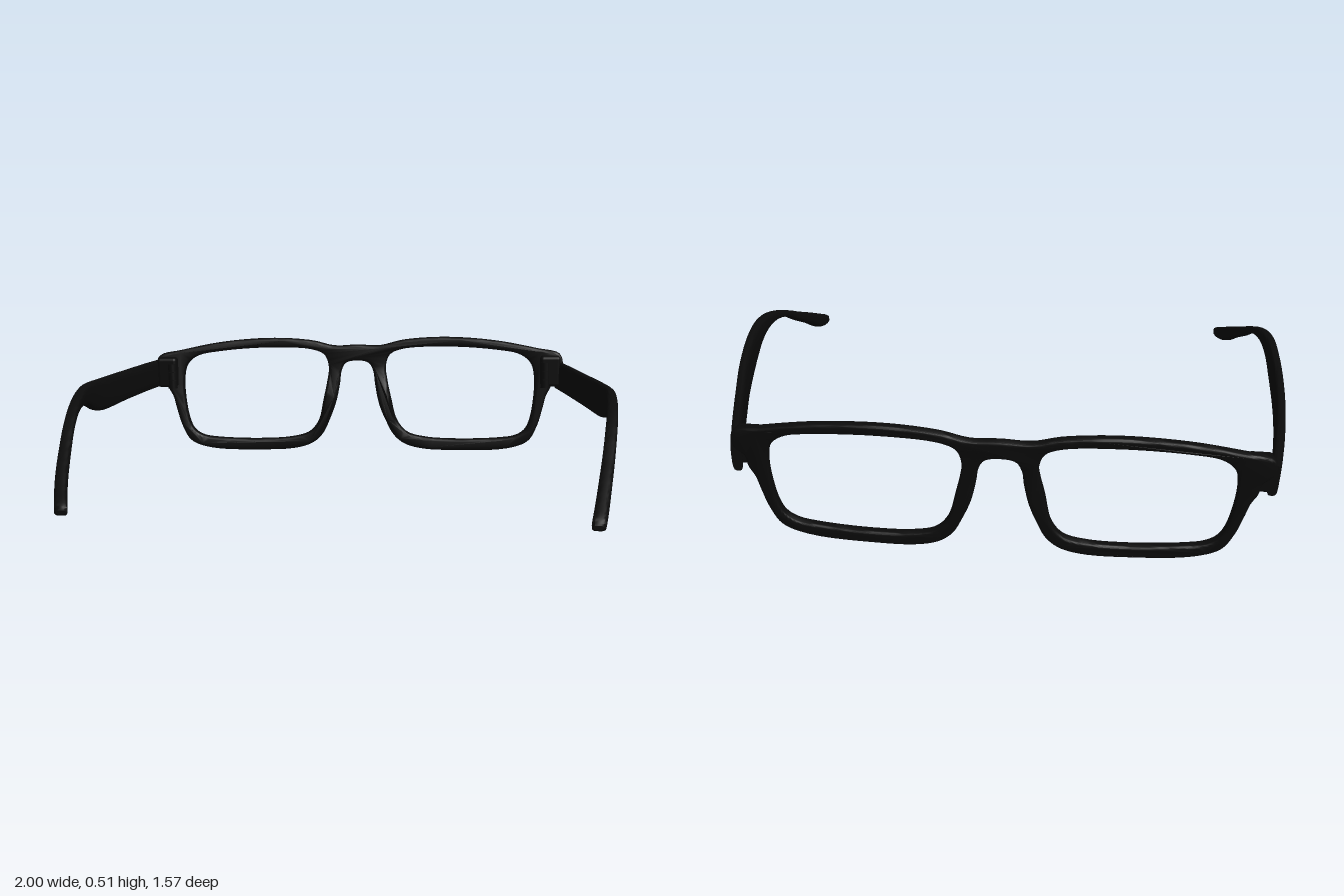
import * as THREE from 'three';
import { mergeVertices, toCreasedNormals } from 'three/addons/utils/BufferGeometryUtils.js';
import { RoundedBoxGeometry } from 'three/addons/geometries/RoundedBoxGeometry.js';

const material = new THREE.MeshStandardMaterial({ color: 0x0b0b0b });

function addMesh(parent, name, geometry) {
  const mesh = new THREE.Mesh(geometry, material);
  mesh.name = name;
  parent.add(mesh);
  return mesh;
}

// Smooth closed outline through a few points
function smoothLoop(points, divisions) {
  const curve = new THREE.CatmullRomCurve3(
    points.map(([x, y]) => new THREE.Vector3(x, y, 0)), true, 'centripetal');
  return curve.getPoints(divisions).slice(0, -1).map(p => new THREE.Vector2(p.x, p.y));
}

const mirror = points => points.map(([x, y]) => [-x, y]).reverse();

// Lean and wrap of the front
const frontZ = (x, y) => -0.722 - 0.09 * y + 0.05 * x * x;

// Half of the outer outline, from bridge top round to bridge underside
const OUTLINE = [
  [0, 0.468], [0.1, 0.465], [0.2, 0.488], [0.38, 0.5], [0.6, 0.485], [0.78, 0.452],
  [0.87, 0.432], [0.885, 0.4], [0.878, 0.36], [0.845, 0.335], [0.835, 0.29], [0.815, 0.25],
  [0.802, 0.2], [0.778, 0.12], [0.74, 0.055], [0.65, 0.021], [0.43, 0.01], [0.275, 0.017],
  [0.2, 0.04], [0.155, 0.08], [0.125, 0.14], [0.095, 0.22], [0.078, 0.3], [0.07, 0.355],
  [0.05, 0.39], [0, 0.4],
];

// Opening of one rim, wound against the outline
const LENS_OPENING = [
  [0.125, 0.375], [0.143, 0.425], [0.195, 0.449], [0.38, 0.46], [0.6, 0.447], [0.705, 0.427],
  [0.75, 0.39], [0.765, 0.33], [0.76, 0.22], [0.742, 0.135], [0.722, 0.1], [0.685, 0.077],
  [0.61, 0.065], [0.43, 0.058], [0.29, 0.066], [0.215, 0.088], [0.172, 0.14], [0.148, 0.23],
  [0.13, 0.32],
].reverse();

function frontGeometry() {
  const shape = new THREE.Shape(smoothLoop([...OUTLINE, ...mirror(OUTLINE.slice(1, -1))], 240));
  shape.holes = [LENS_OPENING, mirror(LENS_OPENING)].map(p => new THREE.Path(smoothLoop(p, 110)));
  let geometry = new THREE.ExtrudeGeometry(shape, {
    depth: 0.016, bevelThickness: 0.011, bevelSize: 0.011, bevelOffset: -0.011,
    bevelSegments: 4, steps: 1,
  });
  geometry.translate(0, 0, -0.008);
  const pos = geometry.attributes.position;
  for (let i = 0; i < pos.count; i++) {
    const x = pos.getX(i), y = pos.getY(i), z = pos.getZ(i);
    // Nose pads swell out of the inner side of the rims
    const swell = z > 0
      ? 0.036 * Math.exp(-(((Math.abs(x) - 0.125) / 0.045) ** 2) - (((y - 0.23) / 0.085) ** 2)) : 0;
    pos.setZ(i, z + swell + frontZ(x, y));
  }
  geometry.deleteAttribute('normal');
  geometry.deleteAttribute('uv');
  geometry = mergeVertices(geometry, 1e-5);
  return toCreasedNormals(geometry, 0.7);
}

// Arm side profile: z, top, bottom
const ARM_PROFILE = [
  [-0.735, 0.4, 0.284], [-0.4, 0.405, 0.284], [-0.1, 0.416, 0.29], [0, 0.422, 0.31],
  [0.1, 0.424, 0.345], [0.2, 0.408, 0.357], [0.3, 0.376, 0.342], [0.4, 0.332, 0.302],
  [0.5, 0.28, 0.238], [0.6, 0.23, 0.178], [0.7, 0.178, 0.114], [0.76, 0.146, 0.101],
  [0.785, 0.126, 0.112],
];

// Arm seen from above: x, z
const RIGHT_BOW = [[-0.895, -0.74], [-0.925, -0.6], [-0.955, -0.4], [-0.974, -0.2], [-0.98, -0.02],
  [-0.97, 0.2], [-0.94, 0.42], [-0.895, 0.64], [-0.85, 0.79]];
const LEFT_BOW = [[0.845, -0.74], [0.878, -0.6], [0.92, -0.4], [0.958, -0.2], [0.98, 0],
  [0.974, 0.2], [0.95, 0.4], [0.92, 0.58], [0.88, 0.79]];

// Linear lookup in a dense spline running along z
function bowX(bow) {
  const pts = new THREE.CatmullRomCurve3(bow.map(([x, z]) => new THREE.Vector3(x, 0, z))).getPoints(160);
  return z => {
    let i = 1;
    while (i < pts.length - 1 && pts[i].z < z) i++;
    const a = pts[i - 1], b = pts[i];
    return a.x + (b.x - a.x) * (z - a.z) / (b.z - a.z);
  };
}

// Rounded slab lofted through cross-sections along z
function armGeometry(bow, lift) {
  const xAt = bowX(bow), sides = 24, rings = 72;
  const profile = k => new THREE.CatmullRomCurve3(
    ARM_PROFILE.map(p => new THREE.Vector3(0, p[k], p[0])), false, 'centripetal');
  const top = profile(1), bottom = profile(2);
  const positions = [], index = [];
  const section = (z, yc, halfHeight, halfWidth) => {
    for (let s = 0; s < sides; s++) {
      const a = s / sides * Math.PI * 2;
      const round = v => Math.sign(v) * Math.pow(Math.abs(v), 0.55);
      positions.push(xAt(z) + halfWidth * round(Math.cos(a)), yc + halfHeight * round(Math.sin(a)), z);
    }
  };
  for (let r = 0; r <= rings; r++) {
    const t = r / rings, p = top.getPoint(t), q = bottom.getPoint(t);
    const z = (p.z + q.z) / 2, yc = (p.y + q.y) / 2 + lift * (1 - t);
    const width = z > 0.77 ? 0.016 : THREE.MathUtils.mapLinear(Math.max(z, 0), 0, 0.77, 0.018, 0.023);
    if (r === 0) section(z, yc, 0, 0);
    section(z, yc, (p.y - q.y) / 2, width);
    if (r === rings) section(z, yc, 0, 0);
  }
  for (let r = 0; r < rings + 2; r++) {
    for (let s = 0; s < sides; s++) {
      const a = r * sides + s, b = r * sides + (s + 1) % sides;
      index.push(a, b, b + sides, a, b + sides, a + sides);
    }
  }
  const geometry = new THREE.BufferGeometry();
  geometry.setAttribute('position', new THREE.Float32BufferAttribute(positions, 3));
  geometry.setIndex(index);
  return toCreasedNormals(geometry, 0.8);
}

export function createModel() {
  const model = new THREE.Group();
  model.name = 'eyeglasses';

  // Front with hinges, sitting very slightly askew
  const front = new THREE.Group();
  front.name = 'front';
  front.position.x = -0.015;
  front.position.y = 0.002;
  front.rotation.z = 0.02;
  model.add(front);
  addMesh(front, 'rims', frontGeometry());

  for (const [side, label] of [[1, 'left'], [-1, 'right']]) {
    const block = addMesh(front, label + 'HingeBlock', new RoundedBoxGeometry(0.085, 0.13, 0.055, 3, 0.014));
    block.position.set(side * 0.832, 0.36, -0.695);

    // Three stacked hinge knuckles
    for (let i = -1; i <= 1; i++) {
      const knuckle = addMesh(front, label + 'HingeKnuckle', new THREE.CylinderGeometry(0.02, 0.02, 0.034, 16));
      knuckle.position.set(side * 0.81, 0.345 + i * 0.037, -0.68);
    }
  }

  // Arms
  addMesh(model, 'leftArm', armGeometry(LEFT_BOW, 0.012));
  addMesh(model, 'rightArm', armGeometry(RIGHT_BOW, -0.004));
  return model;
}
